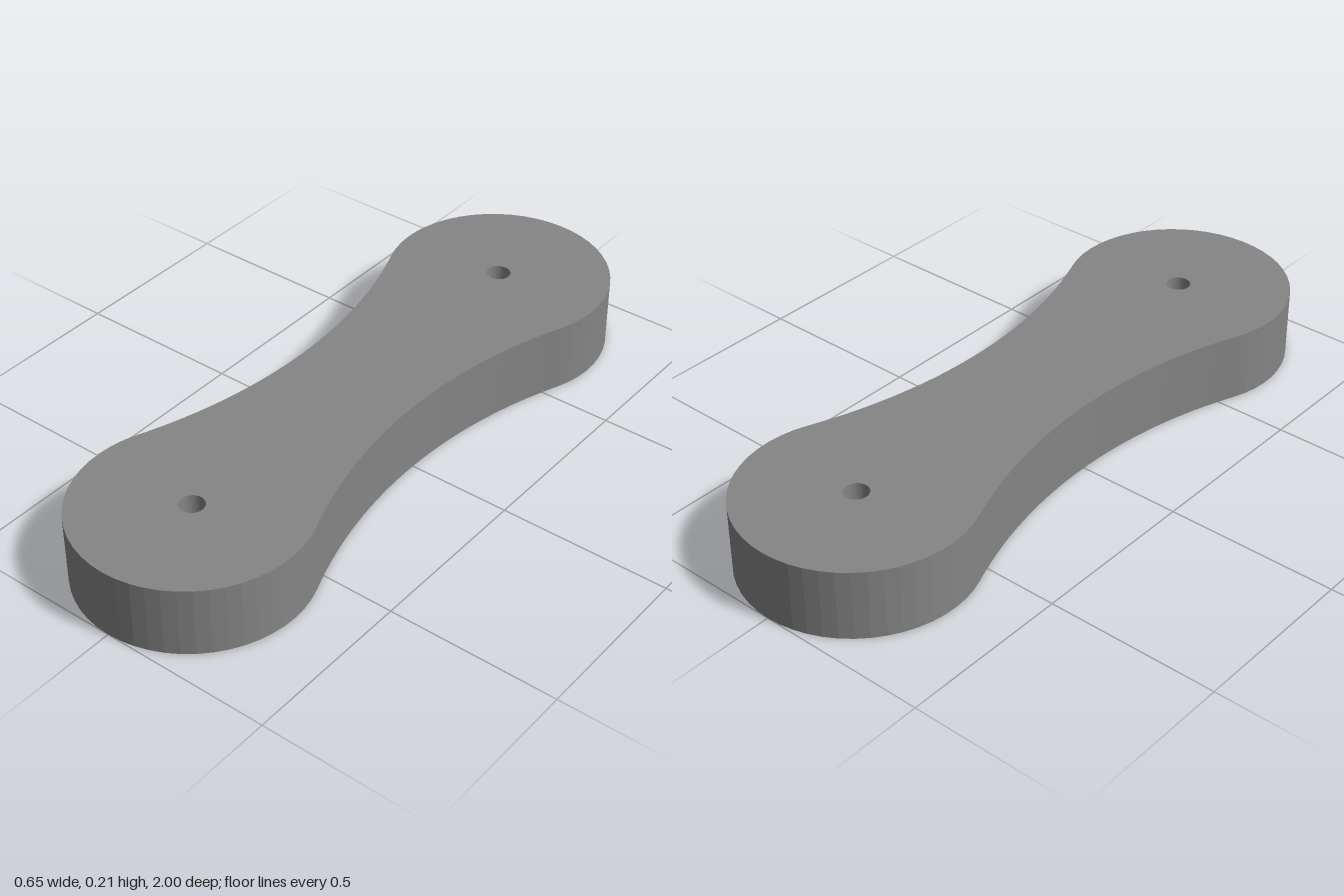
import * as THREE from 'three';

const HEIGHT = 0.206, POCKET = 0.103;      // total height, pocket depth
const LOBE = 0.327, CENTRE = 1 - LOBE;     // end lobe radius and distance from the middle
const WAIST = 0.195, BORE = 0.035;         // half width at the waist, hole radius

// Two round lobes joined by concave arcs tangent to both
function outline() {
  const R = (WAIST ** 2 + CENTRE ** 2 - LOBE ** 2) / (2 * (LOBE - WAIST));
  const a = Math.atan2(CENTRE, WAIST + R);
  const s = new THREE.Shape();
  s.absarc(0, CENTRE, LOBE, -a, Math.PI + a, false);
  s.absarc(-WAIST - R, 0, R, a, -a, true);
  s.absarc(0, -CENTRE, LOBE, Math.PI - a, 2 * Math.PI + a, false);
  s.absarc(WAIST + R, 0, R, Math.PI + a, Math.PI - a, true);
  return s;
}

// Tapered slot, wide at the lobe and narrow near the middle
function slot(side) {
  const r1 = 0.117, r2 = 0.068, inner = 0.11;
  const b = Math.asin((r1 - r2) / (CENTRE - inner));
  const turn = side > 0 ? 0 : Math.PI;
  const p = new THREE.Path();
  p.absarc(0, side * CENTRE, r1, turn - b, turn + Math.PI + b, false);
  p.absarc(0, side * inner, r2, turn + Math.PI + b, turn + 2 * Math.PI - b, false);
  p.closePath();
  return p;
}

function bore(side) {
  return new THREE.Path().absarc(0, side * CENTRE, BORE, 0, Math.PI * 2, false);
}

// Horizontal slab of the outline with one cut-out per end, faceted sides
function slab(name, cutout, y, depth, material) {
  const shape = outline();
  for (const side of [1, -1]) shape.holes.push(cutout(side));
  const geo = new THREE.ExtrudeGeometry(shape, { depth, bevelEnabled: false, curveSegments: 16 });
  geo.rotateX(-Math.PI / 2);
  geo.translate(0, y, 0);
  const mesh = new THREE.Mesh(geo, material);
  mesh.name = name;
  return mesh;
}

export function createModel() {
  const group = new THREE.Group();
  group.name = 'linkArm';
  const material = new THREE.MeshStandardMaterial({ color: 0x858585, flatShading: true });
  group.add(
    slab('slottedBase', slot, 0, POCKET, material),
    slab('topPlate', bore, POCKET, HEIGHT - POCKET, material)
  );
  return group;
}
